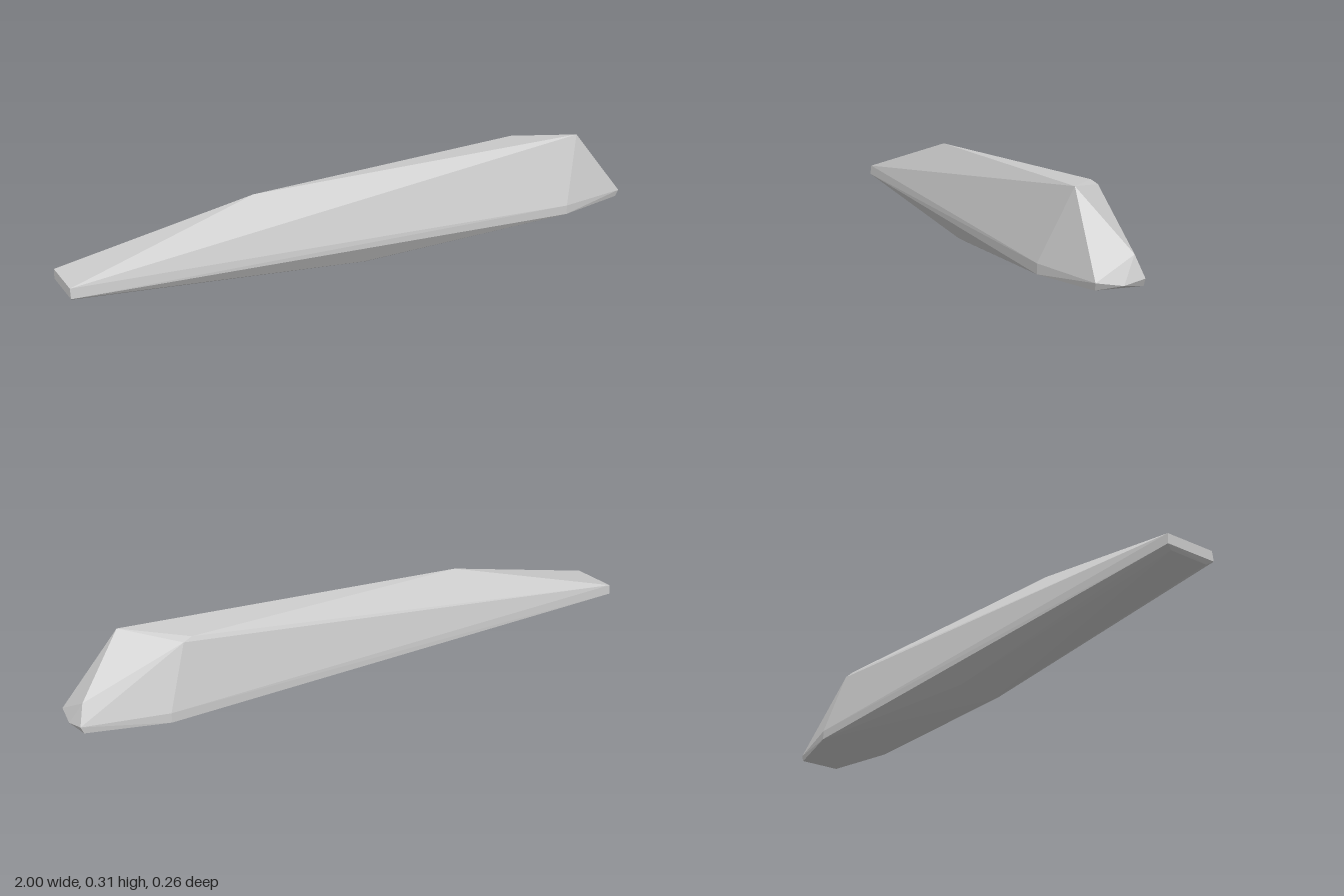
import * as THREE from 'three';
import { ConvexGeometry } from 'three/addons/geometries/ConvexGeometry.js';

export function createModel() {
  const model = new THREE.Group();
  const stone = new THREE.MeshStandardMaterial({ color: 0xcccccc });
  stone.name = 'pale grey';
  const p = (x, y, z) => new THREE.Vector3(x, y, z);

  // faceted shard: the hull of its few corner points
  const corners = [
    // ridge and the two rear peaks
    p(-0.38, 0.272, 0), p(0.81, 0.308, 0.055), p(0.63, 0.292, -0.08), p(0.66, 0.282, -0.088),
    // blunt left end
    p(-1, 0.11, 0.078), p(-1, 0.11, -0.088), p(-1, 0.078, 0.082), p(-1, 0.078, -0.09),
    p(-0.99, 0.066, 0.06), p(-0.99, 0.068, -0.07),
    // widest section
    p(0.73, 0.085, 0.13), p(0.73, 0.054, 0.13), p(0.73, 0.085, -0.13), p(0.73, 0.054, -0.13),
    // right tip
    p(0.97, 0.145, -0.045), p(0.99, 0.082, 0.078), p(0.98, 0.06, 0.075),
    p(0.99, 0.082, -0.068), p(0.98, 0.06, -0.068), p(1, 0.07, 0),
    // keel
    p(-0.02, 0, 0.065), p(-0.03, 0.006, 0.076), p(0, 0.029, -0.05),
  ];
  const shard = new THREE.Mesh(new ConvexGeometry(corners), stone);
  shard.name = 'shard';
  model.add(shard);
  return model;
}
